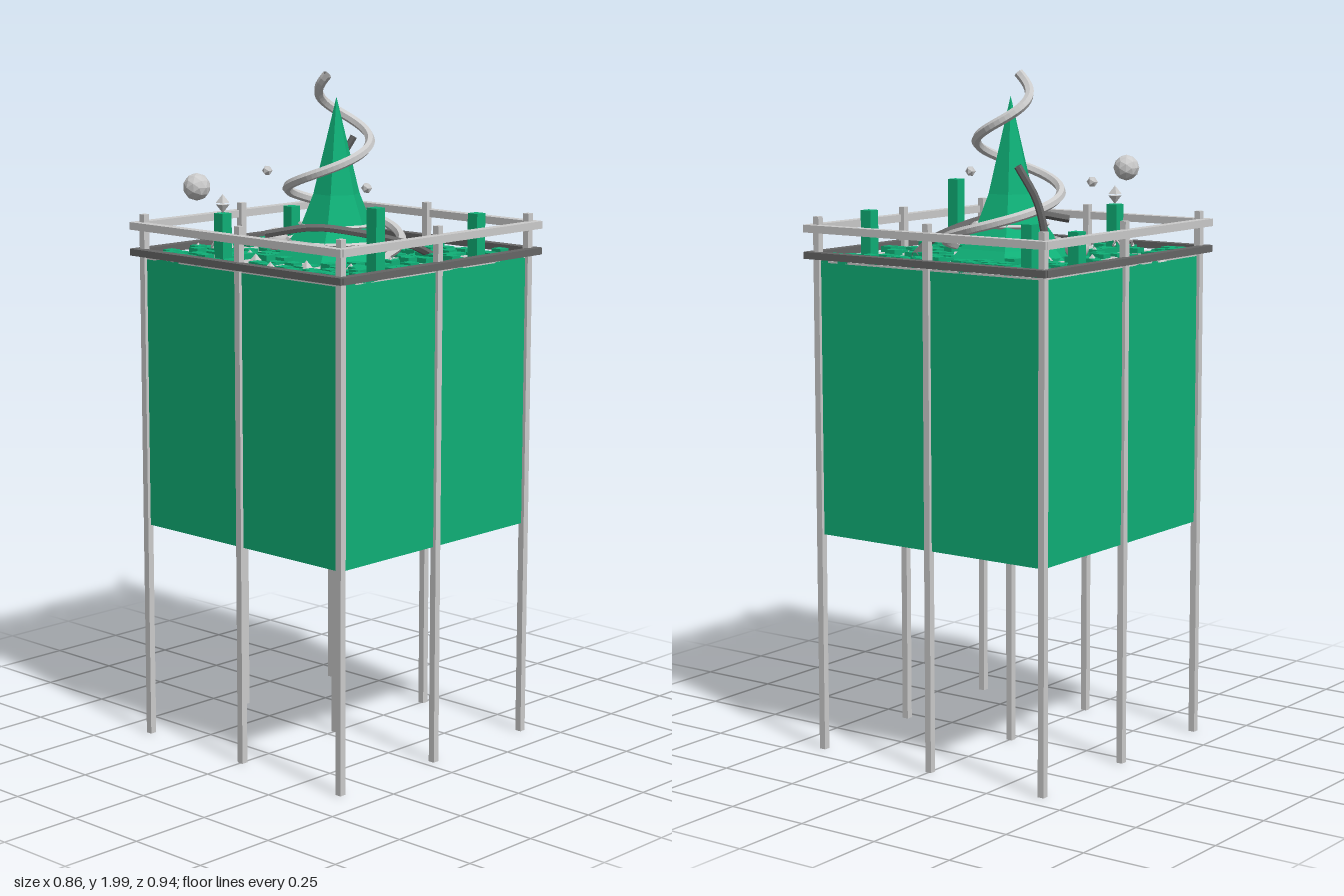
import * as THREE from 'three';

const Z0 = -0.037;          // centre of the block in z
const HALF = 0.396;         // half width of the block
const TOP = 1.448;          // top of the block
const N = 22, CELL = (2 * HALF) / N;

const mat = (color) => new THREE.MeshStandardMaterial({ color, flatShading: true, side: THREE.DoubleSide });
const grey = mat(0xcccccc), dark = mat(0x666666), green = mat(0x0fb077);

function seeded(seed) {
  return () => {
    seed = (seed * 1664525 + 1013904223) % 4294967296;
    return seed / 4294967296;
  };
}

export function createModel() {
  const model = new THREE.Group();

  const add = (name, geometry, material, x, y, z, parent = model) => {
    const mesh = new THREE.Mesh(geometry, material);
    mesh.name = name;
    mesh.position.set(x, y, z);
    parent.add(mesh);
    return mesh;
  };
  // box given by its bottom height
  const block = (name, w, h, d, material, x, y, z, parent) =>
    add(name, new THREE.BoxGeometry(w, h, d), material, x, y + h / 2, z, parent);
  const group = (name) => {
    const g = new THREE.Group();
    g.name = name;
    model.add(g);
    return g;
  };

  // main block and its floor
  block('mainBlock', 2 * HALF, 0.798, 2 * HALF, green, 0, 0.65, Z0);
  block('floor', 2 * HALF, 0.006, 2 * HALF, grey, 0, TOP, Z0);

  // nine stilts, the middle one ending under the block
  const stilts = group('stilts');
  for (const i of [-1, 0, 1]) for (const j of [-1, 0, 1]) {
    const h = i === 0 && j === 0 ? 0.66 : 1.58;
    block('stilt', 0.02, h, 0.02, grey, i * HALF, 0, Z0 + j * HALF, stilts);
  }

  // two rails around the top
  for (const [name, y, h, material] of [['lowerRail', 1.459, 0.02, dark], ['upperRail', 1.535, 0.022, grey]]) {
    const rail = group(name);
    for (const s of [-1, 1]) {
      block('railBar', 0.85, h, 0.03, material, 0, y, Z0 + s * 0.413, rail);
      block('railBar', 0.03, h, 0.84, material, s * 0.413, y, Z0, rail);
    }
  }

  // scattered tiles
  const tiles = group('tiles');
  const rand = seeded(29);
  for (let i = 0; i < N; i++) for (let j = 0; j < N; j++) {
    const pick = rand(), h = 0.01 + 0.014 * rand();
    const x = -HALF + (i + 0.5) * CELL, z = Z0 - HALF + (j + 0.5) * CELL;
    if (pick < 0.46 && Math.hypot(x, z - Z0) > 0.16)
      block('tile', CELL, h, CELL, green, x, TOP, z, tiles);
  }

  // tall towers
  const towers = group('towers');
  for (const [x, z, top] of [[0.377, 0.2, 1.65], [0.338, -0.27, 1.59], [-0.345, -0.2, 1.56],
    [-0.235, -0.27, 1.58], [-0.16, 0.268, 1.595]])
    block('tower', CELL, top - TOP, CELL, green, x, TOP, z, towers);

  // four-sided pyramids on the floor and stacked on one tower
  const pyramids = group('pyramids');
  const pyramid = (x, y, z, w, h) => {
    const p = add('pyramid', new THREE.ConeGeometry(w / Math.SQRT2, h, 4), grey, x, y + h / 2, z, pyramids);
    p.rotation.y = Math.PI / 4;
    return p;
  };
  for (const [x, z] of [[-0.2, -0.13], [-0.375, -0.02], [-0.275, -0.02], [0.23, -0.02], [-0.385, 0.155],
    [-0.165, 0.155], [-0.095, 0.2], [0.11, 0.2], [0.24, 0.155], [0.055, 0.29]])
    pyramid(x, TOP, z, CELL, 0.03);
  pyramid(-0.16, 1.595, 0.268, 0.028, 0.025).rotation.x = Math.PI;
  pyramid(-0.16, 1.625, 0.268, 0.028, 0.025);

  // six-sided flared spire with two hoops
  const profile = [[0.195, 1.449], [0.16, 1.485], [0.105, 1.555], [0.07, 1.64], [0.035, 1.78], [0, 1.92]];
  const spire = add('spire', new THREE.LatheGeometry(profile.map(([r, y]) => new THREE.Vector2(r, y)), 6),
    green, 0, 0, Z0);
  spire.rotation.y = Math.PI / 2;
  for (const [r, y] of [[0.145, 1.505], [0.108, 1.55]]) {
    const hoop = add('hoop', new THREE.TorusGeometry(r, 0.006, 4, 10), grey, 0, y, Z0);
    hoop.rotation.x = Math.PI / 2;
  }

  // spiral winding down around the spire
  const spiral = [];
  for (let i = 0; i <= 42; i++) {
    const t = i / 24, a = t * 2 * Math.PI, r = 0.038 + 0.093 * t;
    spiral.push(new THREE.Vector3(-r * Math.sin(a), 1.985 - 0.29 * t, Z0 + r * Math.cos(a)));
  }
  const tube = (name, points, radius, segments, material) => add(name,
    new THREE.TubeGeometry(new THREE.CatmullRomCurve3(points), segments, radius, 6), material, 0, 0, 0);
  tube('spiral', spiral, 0.014, 90, grey);

  // two dark curved arms
  const v = (x, y, z) => new THREE.Vector3(x, y, z);
  tube('lowArm', [v(0.21, 1.46, -0.22), v(0.222, 1.50, -0.12), v(0.165, 1.55, 0.06),
    v(0.09, 1.565, 0.155), v(-0.015, 1.545, 0.24)], 0.012, 30, dark);
  tube('cornerArm', [v(-0.365, 1.46, -0.395), v(-0.38, 1.56, -0.405), v(-0.368, 1.66, -0.425),
    v(-0.33, 1.755, -0.46)], 0.011, 20, dark);

  // floating balls
  add('facetedBall', new THREE.IcosahedronGeometry(0.039, 1), grey, -0.09, 1.69, 0.435);
  add('roundBall', new THREE.SphereGeometry(0.035, 20, 14),
    new THREE.MeshStandardMaterial({ color: 0xcccccc }), -0.205, 1.49, 0.005);
  for (const [x, z] of [[-0.285, -0.037], [0.244, 0.095]])
    add('smallBall', new THREE.IcosahedronGeometry(0.016, 0), grey, x, 1.685, z);

  // small wavy ring
  const wave = [];
  for (let i = 0; i < 16; i++) {
    const a = (i / 16) * 2 * Math.PI, r = i % 2 ? 0.024 : 0.031;
    wave.push(v(-0.235 + r * Math.cos(a), 1.49 + (i % 4 < 2 ? 0.008 : -0.008), 0.2 + r * Math.sin(a)));
  }
  add('wavyRing', new THREE.TubeGeometry(new THREE.CatmullRomCurve3(wave, true), 48, 0.003, 4, true), grey, 0, 0, 0);

  return model;
}
